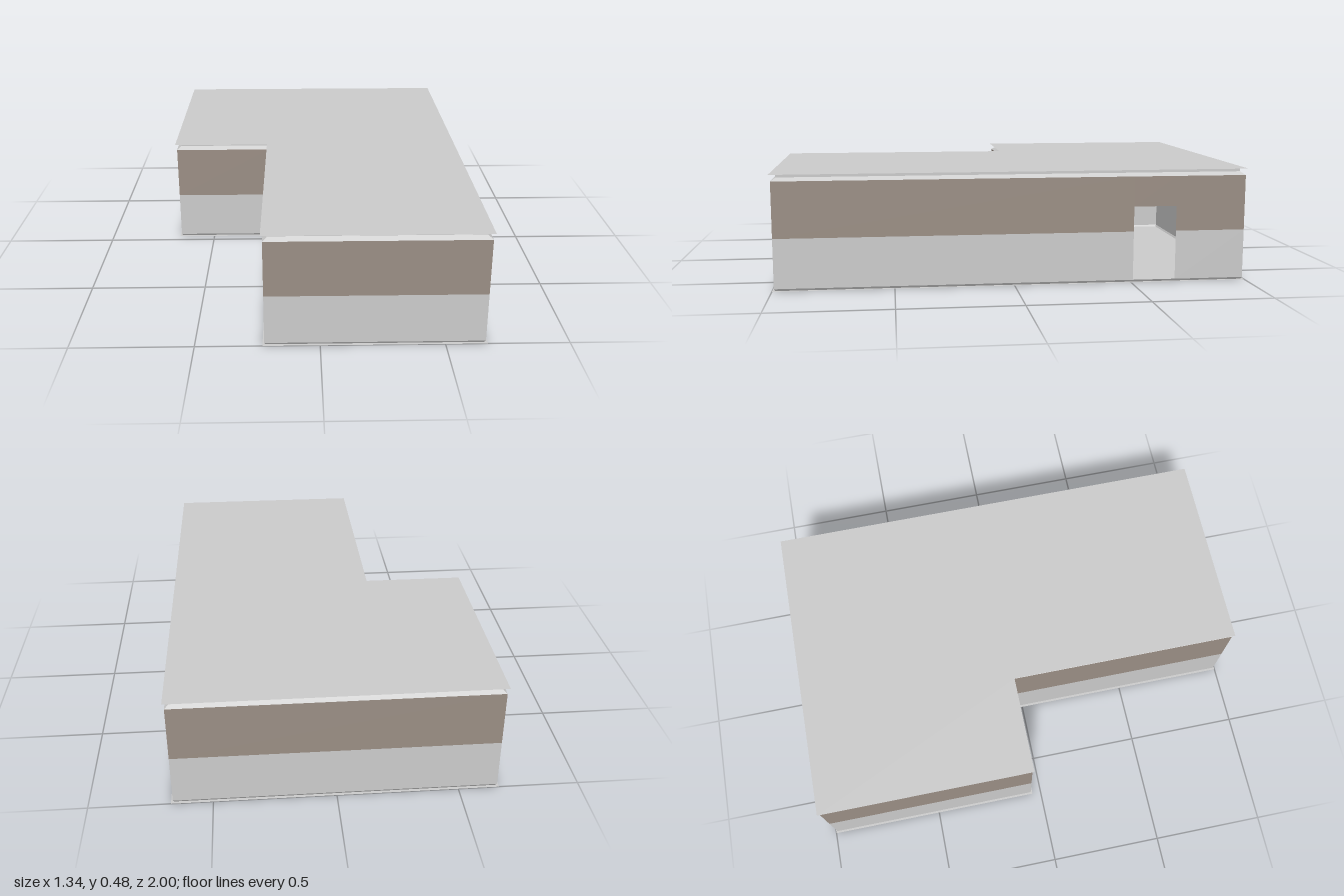
import * as THREE from 'three';

const grey = new THREE.MeshStandardMaterial({ color: 0xcccccc, side: THREE.DoubleSide });
grey.name = 'light grey';
const brown = new THREE.MeshStandardMaterial({ color: 0x9b8f85, side: THREE.DoubleSide });
brown.name = 'taupe';

// L-shaped plan as [x, z] corners, moved inward by d
function outline(d) {
  const r = 0.67 - d, f = 1 - d, nx = -0.23 + d, nz = -0.04 - d;
  return [[nx, f], [r, f], [r, -f], [-r, -f], [-r, nz], [nx, nz]];
}

// Thin surface made of four-cornered panels
function panels(name, material, quads) {
  const pos = [];
  for (const [a, b, c, d] of quads) pos.push(...a, ...b, ...c, ...a, ...c, ...d);
  const geo = new THREE.BufferGeometry();
  geo.setAttribute('position', new THREE.Float32BufferAttribute(pos, 3));
  geo.computeVertexNormals();
  const mesh = new THREE.Mesh(geo, material);
  mesh.name = name;
  return mesh;
}

// Band running round the plan from one inset and height to another
function ring(d0, y0, d1, y1, skip = -1) {
  const lo = outline(d0), hi = outline(d1), quads = [];
  lo.forEach(([x, z], i) => {
    if (i === skip) return;
    const j = (i + 1) % lo.length;
    quads.push([[x, y0, z], [lo[j][0], y0, lo[j][1]], [hi[j][0], y1, hi[j][1]], [hi[i][0], y1, hi[i][1]]]);
  });
  return quads;
}

// Flat L-shaped sheet
function sheet(name, y) {
  const shape = new THREE.Shape(outline(0).map(([x, z]) => new THREE.Vector2(x, -z)));
  const mesh = new THREE.Mesh(new THREE.ShapeGeometry(shape).rotateX(-Math.PI / 2), grey);
  mesh.name = name;
  mesh.position.y = y;
  return mesh;
}

export function createModel() {
  const group = new THREE.Group();
  group.name = 'building';

  const inset = 0.0075, bottom = 0.009, split = 0.218, top = 0.453;
  const door = { front: -0.51, back: -0.693, top: 0.325 };
  const x = 0.67 - inset, f = 1 - inset;
  const side = (z0, z1, y0, y1) => [[x, y0, z0], [x, y0, z1], [x, y1, z1], [x, y1, z0]];

  // Hollow walls in two colours, with the doorway cut from the +x side
  group.add(panels('lowerWalls', grey, [
    ...ring(inset, bottom, inset, split, 1),
    side(f, door.front, bottom, split),
    side(door.back, -f, bottom, split),
  ]));
  group.add(panels('upperWalls', brown, [
    ...ring(inset, split, inset, top, 1),
    side(f, door.front, split, top),
    side(door.front, door.back, door.top, top),
    side(door.back, -f, split, top),
  ]));

  // Floor sheet and the narrow plinth under the walls
  group.add(sheet('floor', 0));
  group.add(panels('plinth', grey, ring(0.013, 0, inset, bottom)));

  // Sloped ledge, upright rim and overhanging flat roof
  group.add(panels('roofLedge', grey, ring(inset, top, 0.027, 0.467)));
  group.add(panels('roofRim', grey, ring(0.027, 0.467, 0.027, 0.481)));
  group.add(sheet('roof', 0.481));

  return group;
}
